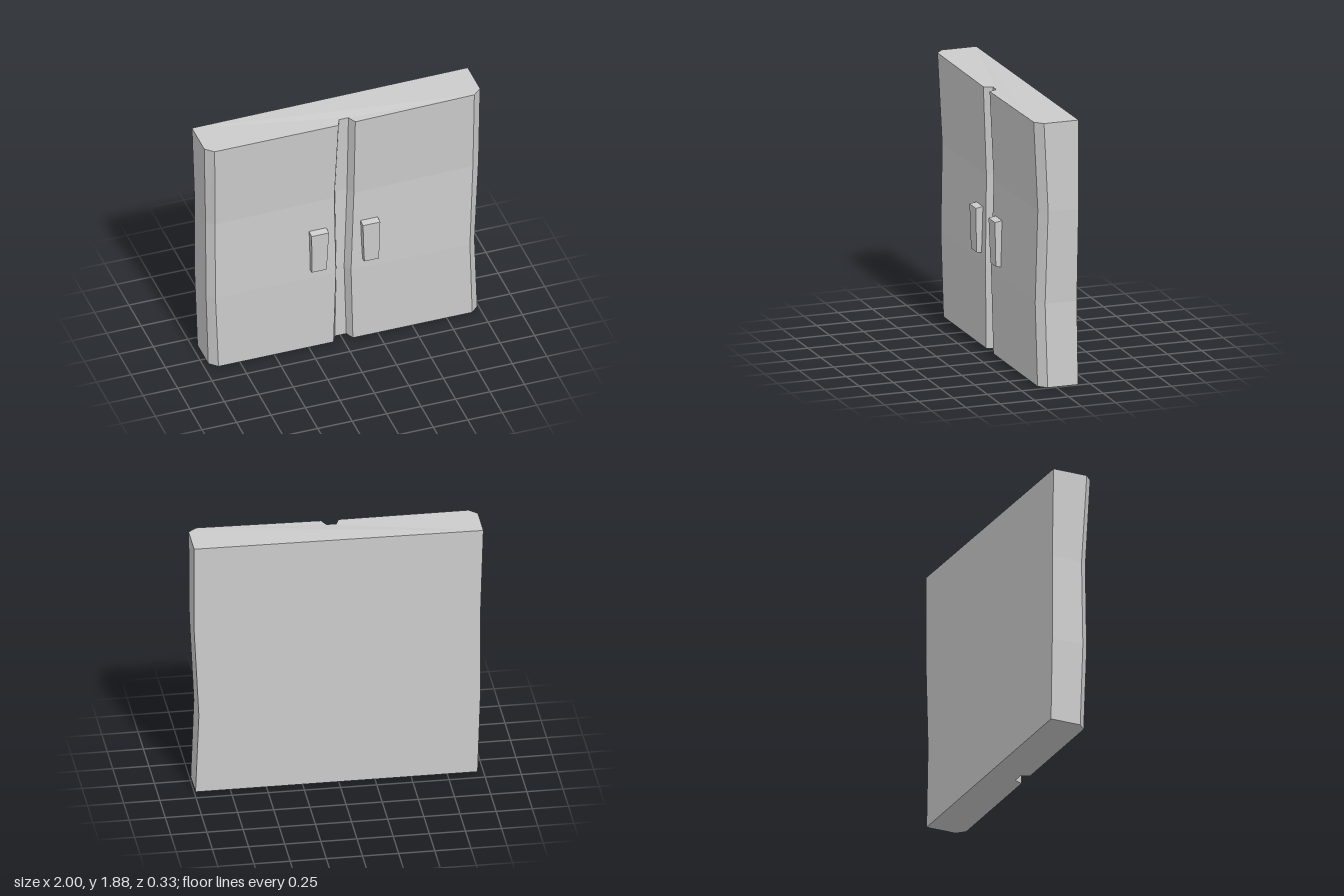
import * as THREE from 'three';

const material = new THREE.MeshStandardMaterial({ color: 0xcccccc, flatShading: true, side: THREE.DoubleSide });

// Skin a stack of rings (bottom to top, each counterclockwise seen from above) and cap both ends.
function loft(rings) {
  const pos = [];
  const tri = (...pts) => pts.forEach(p => pos.push(...p));
  const n = rings[0].length;
  for (let i = 0; i < rings.length - 1; i++) {
    for (let j = 0; j < n; j++) {
      const k = (j + 1) % n;
      const a = rings[i][j], b = rings[i][k], c = rings[i + 1][k], d = rings[i + 1][j];
      tri(a, b, c);
      tri(a, c, d);
    }
  }
  const cap = (ring, up) => {
    const flat = ring.map(([x, , z]) => new THREE.Vector2(x, -z));
    for (const [a, b, c] of THREE.ShapeUtils.triangulateShape(flat, [])) {
      if (up) tri(ring[a], ring[b], ring[c]);
      else tri(ring[a], ring[c], ring[b]);
    }
  };
  cap(rings[0], false);
  cap(rings[rings.length - 1], true);
  const geo = new THREE.BufferGeometry();
  geo.setAttribute('position', new THREE.Float32BufferAttribute(pos, 3));
  geo.computeVertexNormals();
  return geo;
}

function addMesh(group, name, geometry) {
  const mesh = new THREE.Mesh(geometry, material);
  mesh.name = name;
  group.add(mesh);
}

// Wobbly slab: x runs outer edge, bevel, groove lip, groove floor | floor, lip, bevel, outer edge.
const BACK = -0.165;
const levels = [
  { yL: 0, yR: 0, front: 0.11, x: [-0.96, -0.905, -0.07, -0.04, 0.043, 0.07, 0.935, 0.99] },
  { yL: 0.6, yR: 0.59, front: 0.12, x: [-0.98, -0.93, -0.057, -0.033, 0.024, 0.053, 0.915, 0.967] },
  { yL: 1.22, yR: 1.255, front: 0.11, x: [-0.98, -0.93, -0.065, -0.04, 0.048, 0.077, 0.94, 1] },
  { yL: 1.87, yR: 1.885, front: 0.14, x: [-1, -0.943, -0.045, -0.02, 0.048, 0.077, 0.94, 1] },
];

function slabRing({ yL, yR, front, x }, index) {
  const f = front, bevel = front - 0.053, floor = front - 0.06;
  const z = [bevel, f, f, floor, floor, f, f, bevel];
  // The top edge stays level up to the groove and then rises.
  const height = px => index === 3
    ? yL + (yR - yL) * Math.max(0, (px - 0.077) / 0.923)
    : yL + (yR - yL) * (px + 1) / 2;
  const front8 = x.map((px, i) => [px, height(px), z[i]]);
  return [[x[0], height(x[0]), BACK], ...front8, [x[7], height(x[7]), BACK]];
}

// Tapered pull: each level is [outer x, inner x, back y, front y, front z].
const pull = [
  [0.243, 0.137, 0.66, 0.67, 0.156],
  [0.245, 0.13, 0.81, 0.81, 0.16],
  [0.249, 0.124, 0.998, 0.986, 0.165],
];

function handleGeometry(side) {
  return loft(pull.map(([outer, inner, yBack, yFront, z]) => {
    const [a, b] = side > 0 ? [inner, outer] : [-outer, -inner];
    return [[a, yBack, 0.09], [a, yFront, z], [b, yFront, z], [b, yBack, 0.09]];
  }));
}

export function createModel() {
  const group = new THREE.Group();
  group.name = 'doubleDoor';
  addMesh(group, 'doorPanels', loft(levels.map(slabRing)));
  addMesh(group, 'leftHandle', handleGeometry(1));
  addMesh(group, 'rightHandle', handleGeometry(-1));
  return group;
}
